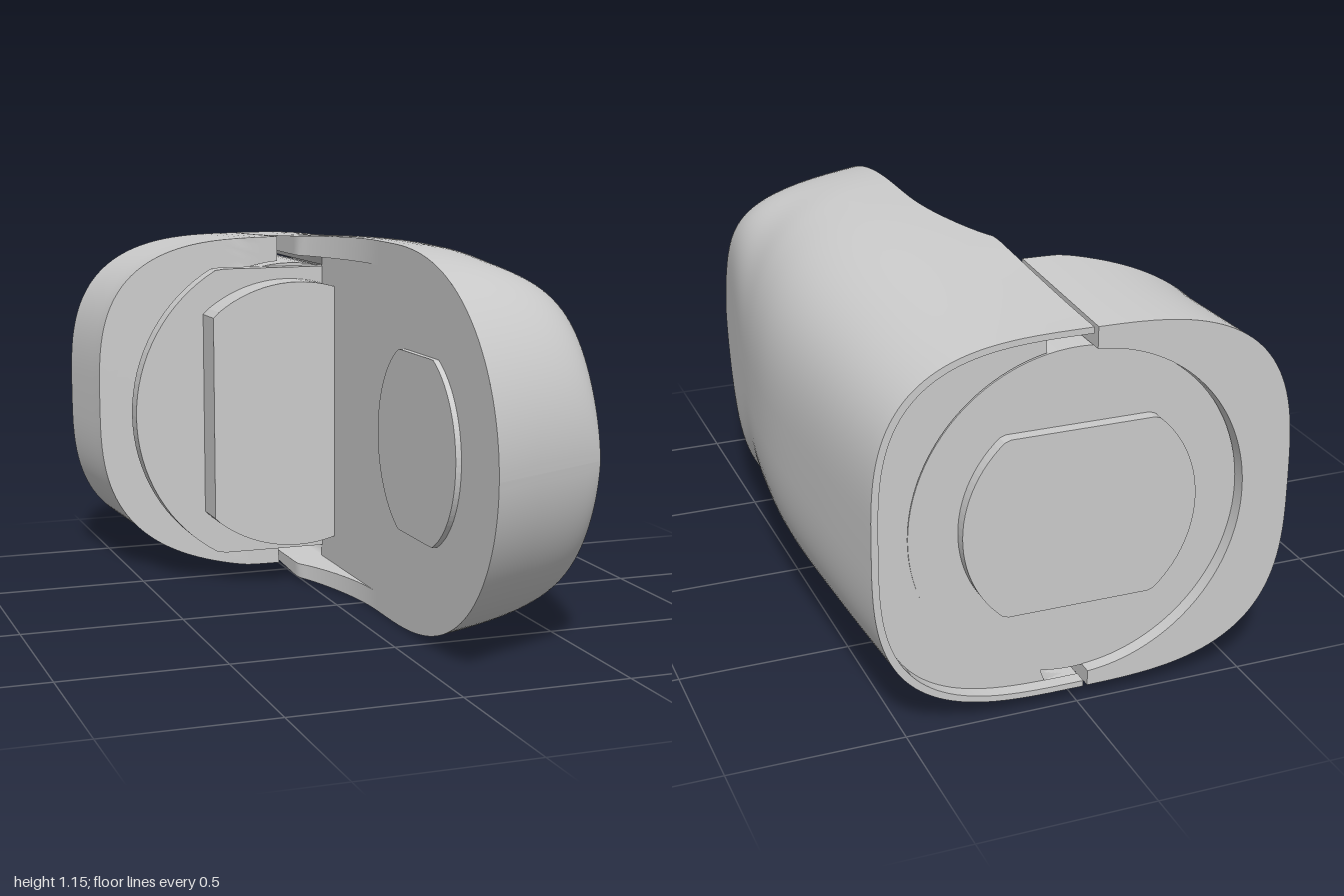
import * as THREE from 'three';

const CY = 0.575;         // section centre height
const AY = 0.567;         // hinge axis height
const FACE = 0.095;       // flat mating face
const FACE_Z = 0.1;       // where the mating face reaches full height
const PLATE = -0.96;      // recessed back plate
const BORE = 0.478, LIP = 0.508;
const N = 64;
const { lerp, smoothstep, clamp } = THREE.MathUtils;

const grey = new THREE.MeshStandardMaterial({ color: 0xcccccc, side: THREE.DoubleSide });

// smooth lookup through a few points
function table(points) {
  const curve = new THREE.SplineCurve(points.map(p => new THREE.Vector2(...p)));
  const samples = curve.getPoints(120);
  return v => {
    let i = 1;
    while (i < samples.length - 1 && samples[i].x < v) i++;
    const a = samples[i - 1], b = samples[i];
    return lerp(a.y, b.y, clamp((v - a.x) / (b.x - a.x), 0, 1));
  };
}

// grid surface from a rule f(u, v) -> [x, y, z]
function panel(group, name, nu, nv, f) {
  const pos = [], idx = [];
  for (let i = 0; i <= nu; i++)
    for (let j = 0; j <= nv; j++) pos.push(...f(i / nu, j / nv));
  for (let i = 0; i < nu; i++)
    for (let j = 0; j < nv; j++) {
      const a = i * (nv + 1) + j, b = a + nv + 1;
      idx.push(a, b, a + 1, b, b + 1, a + 1);
    }
  const g = new THREE.BufferGeometry();
  g.setAttribute('position', new THREE.Float32BufferAttribute(pos, 3));
  g.setIndex(idx);
  g.computeVertexNormals();
  const mesh = new THREE.Mesh(g, grey);
  mesh.name = name;
  group.add(mesh);
}

// half of a superellipse running from x = xi at the top to x = xi at the bottom
function halfSection(W, H, n, xi, t) {
  const a0 = Math.acos(Math.sign(xi) * Math.pow(Math.abs(xi) / W, n / 2));
  const a = lerp(a0, -a0, t), c = Math.cos(a), s = Math.sin(a);
  return [W * Math.sign(c) * Math.pow(Math.abs(c), 2 / n), H * Math.sign(s) * Math.pow(Math.abs(s), 2 / n)];
}

// long half: width, height and inner edge along the length
const widthAt = table([[-1, 0.59], [-0.6, 0.61], [-0.2, 0.62], [0.1, 0.6], [0.45, 0.55], [0.81, 0.49]]);
const rearHeight = z => 0.53 + 0.045 * smoothstep(z, -1.1, 0.1);
const noseHeight = z => Math.sqrt(Math.max(0, 1 - Math.pow(Math.max(0, (z - 0.2) / 0.8), 2.5)));
const innerEdge = z => z < -0.33 ? -0.018 : z > FACE_Z ? FACE
  : -0.018 + (FACE + 0.018) * Math.pow(Math.sin((z + 0.33) / (FACE_Z + 0.33) * Math.PI / 2), 0.8);

// cross-section, sheared towards the front so the nose slants back
function longSection(z, t, scale = 1) {
  const f = smoothstep(z, -0.6, 1);
  const W = widthAt(z - 0.19 * f), H = rearHeight(z) * noseHeight(z);
  const n = 3.2 - 0.2 * smoothstep(z, -1, 0) + 6 * Math.pow(smoothstep(z, 0.25, 1), 2);
  const [x, y] = halfSection(W * scale, H * scale, n, innerEdge(z), t);
  return [x, CY + y, z - 0.48 * f * Math.max(0, x - FACE)];
}

// bore edge of the long half, with a notch at top and bottom
function longBore(t) {
  const i = Math.round(t * N), k = Math.min(i, N - i), s = i < N / 2 ? 1 : -1;
  if (k < 2) return [k ? FACE : -0.018, AY + s * LIP];
  const a0 = Math.acos(FACE / BORE), a = lerp(a0, -a0, (i - 2) / (N - 4));
  return [BORE * Math.cos(a), AY + BORE * Math.sin(a)];
}

function buildLongHalf() {
  const g = new THREE.Group();
  g.name = 'longHalf';
  panel(g, 'outerShell', 72, N, (u, t) => longSection(-1 + 2 * (1 - Math.pow(1 - u, 1.9)), t));
  // flat inner face, full height in front and between the lips behind
  panel(g, 'innerFace', 60, 1, (u, v) => longSection(FACE_Z + (1 - FACE_Z) * (1 - (1 - u) ** 2), v));
  panel(g, 'innerFaceRear', 1, 1, (u, v) => [FACE, AY + lerp(LIP, -LIP, v), lerp(-0.42, FACE_Z, u)]);
  // curved lips at top and bottom
  const zAt = u => lerp(PLATE, FACE_Z, u);
  for (const s of [1, -1]) {
    panel(g, 'lipEdge', 50, 1, (u, v) => {
      const p = longSection(zAt(u), s > 0 ? 0 : 1);
      return [p[0], lerp(p[1], AY + s * LIP, v), p[2]];
    });
    panel(g, 'lipUnderside', 50, 1, (u, v) => [lerp(innerEdge(zAt(u)), FACE, v), AY + s * LIP, zAt(u)]);
  }
  panel(g, 'boreWall', 1, N, (u, t) => [...longBore(t), lerp(PLATE, -0.41, u)]);
  // thin raised rim around the recessed back plate
  const rimInner = t => longSection(-1, t, 0.967);
  panel(g, 'rim', 1, N, (u, t) => longSection(-1, t, lerp(1, 0.967, u)));
  panel(g, 'rimWall', 1, N, (u, t) => [rimInner(t)[0], rimInner(t)[1], lerp(-1, PLATE, u)]);
  panel(g, 'backPlate', 1, N, (u, t) => {
    const p = rimInner(t), q = longBore(t);
    return [lerp(p[0], q[0], u), lerp(p[1], q[1], u), PLATE];
  });
  return g;
}

// short half on the other side, with a slanted front
function buildShortHalf() {
  const g = new THREE.Group();
  g.name = 'shortHalf';
  const SEAM = 0.03;
  const frontAt = x => -0.5 - 0.5 * Math.max(0, -x - 0.15);
  const outer = (z, t) => {
    const k = (z + 1) / 0.28;
    const [x, y] = halfSection(0.62 - 0.035 * Math.min(k, 1), 0.53 + 0.011 * k, 3.1, SEAM, t);
    return [-x, CY + y, z];
  };
  const bore = t => {
    const a0 = Math.acos(SEAM / BORE), a = lerp(a0, -a0, t);
    return [-BORE * Math.cos(a), AY + BORE * Math.sin(a)];
  };
  const front = t => outer(frontAt(outer(-0.72, t)[0]), t);
  const faceAt = (t, v) => {
    const p = front(t), q = bore(t), x = lerp(p[0], q[0], v);
    return [x, lerp(p[1], q[1], v), v === 0 ? p[2] : frontAt(x)];
  };
  panel(g, 'outerShell', 8, N, (u, t) => outer(lerp(-1, front(t)[2], u), t));
  panel(g, 'frontFace', 4, N, (u, t) => faceAt(t, u));
  panel(g, 'boreWall', 1, N, (u, t) => [...bore(t), lerp(-1, faceAt(t, 1)[2], u)]);
  panel(g, 'backFace', 1, N, (u, t) => {
    const p = outer(-1, t), q = bore(t);
    return [lerp(p[0], q[0], u), lerp(p[1], q[1], u), -1];
  });
  for (const t of [0, 1])
    panel(g, 'seamFace', 6, 1, (u, v) => {
      const z = lerp(-1, -0.5, u), p = outer(z, t), q = bore(t);
      return [p[0], lerp(p[1], q[1], v), z];
    });
  return g;
}

// disc with flats cut at +-cx and +-cy, extruded along z
function flattedDisc(name, r, cx, cy, depth) {
  const pts = [];
  for (let i = 0; i < 96; i++) {
    const a = i / 96 * Math.PI * 2;
    pts.push(new THREE.Vector2(clamp(r * Math.cos(a), -cx, cx), clamp(r * Math.sin(a), -cy, cy)));
  }
  const mesh = new THREE.Mesh(
    new THREE.ExtrudeGeometry(new THREE.Shape(pts), { depth, bevelEnabled: false }), grey);
  mesh.name = name;
  return mesh;
}

export function createModel() {
  const model = new THREE.Group();
  model.add(buildLongHalf(), buildShortHalf());

  // hinge core: name, radius, flats in x and y, centre x, z range
  const parts = [
    ['hingeDrum', 0.477, 1, 1, 0, PLATE, -0.46],
    ['hingeFlange', 0.535, 1, 0.467, 0, -0.47, -0.41],
    ['frontBoss', 0.43, 0.28, 1, -0.03, -0.42, -0.29],
    ['backBoss', 0.338, 1, 0.26, 0, -0.995, -0.94],
  ];
  for (const [name, r, cx, cy, x, z0, z1] of parts) {
    const m = flattedDisc(name, r, cx, cy, z1 - z0);
    m.position.set(x, AY - 0.003, z0);
    model.add(m);
  }

  // pad on the flat inner face
  const pad = flattedDisc('innerPad', 0.3, 0.3, 0.27, 0.03);
  pad.rotation.y = Math.PI / 2;
  pad.position.set(0.078, 0.578, 0.45);
  model.add(pad);
  return model;
}
